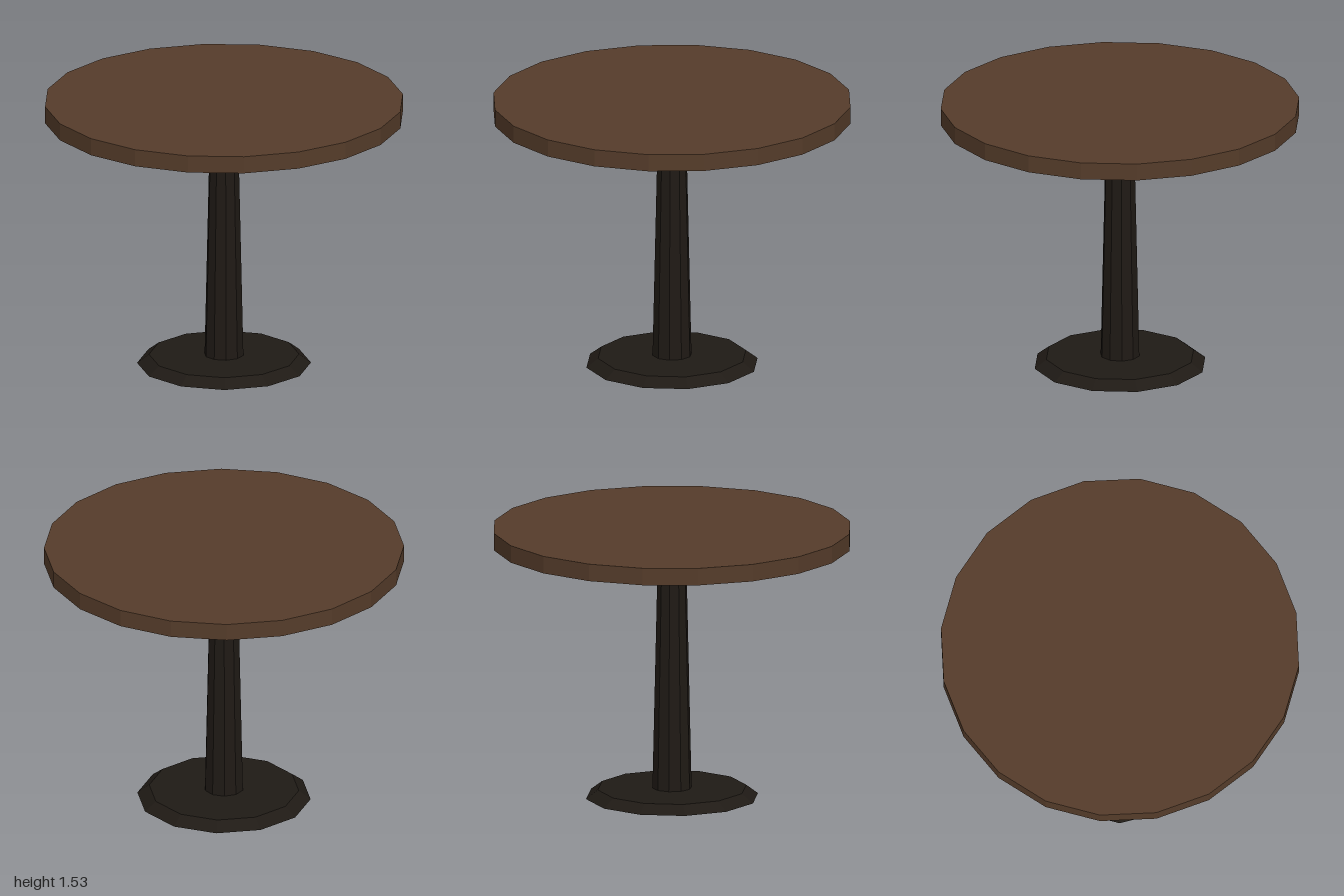
import * as THREE from 'three';

export function createModel() {
  const model = new THREE.Group();
  const wood = new THREE.MeshStandardMaterial({ color: 0x553c2a, flatShading: true });
  const darkWood = new THREE.MeshStandardMaterial({ color: 0x1f1a15, flatShading: true });

  // Faceted round part spanning the heights y0 to y1
  function addRound(name, material, topRadius, bottomRadius, y0, y1, sides) {
    const geometry = new THREE.CylinderGeometry(topRadius, bottomRadius, y1 - y0, sides);
    const mesh = new THREE.Mesh(geometry, material);
    mesh.name = name;
    mesh.position.y = (y0 + y1) / 2;
    model.add(mesh);
  }

  addRound('tableTop', wood, 1, 1, 1.438, 1.535, 20);
  addRound('topSupport', darkWood, 0.322, 0.322, 1.374, 1.438, 10);
  addRound('column', darkWood, 0.08, 0.11, 0.05, 1.374, 10);
  addRound('base', darkWood, 0.417, 0.483, 0, 0.05, 12);

  return model;
}
